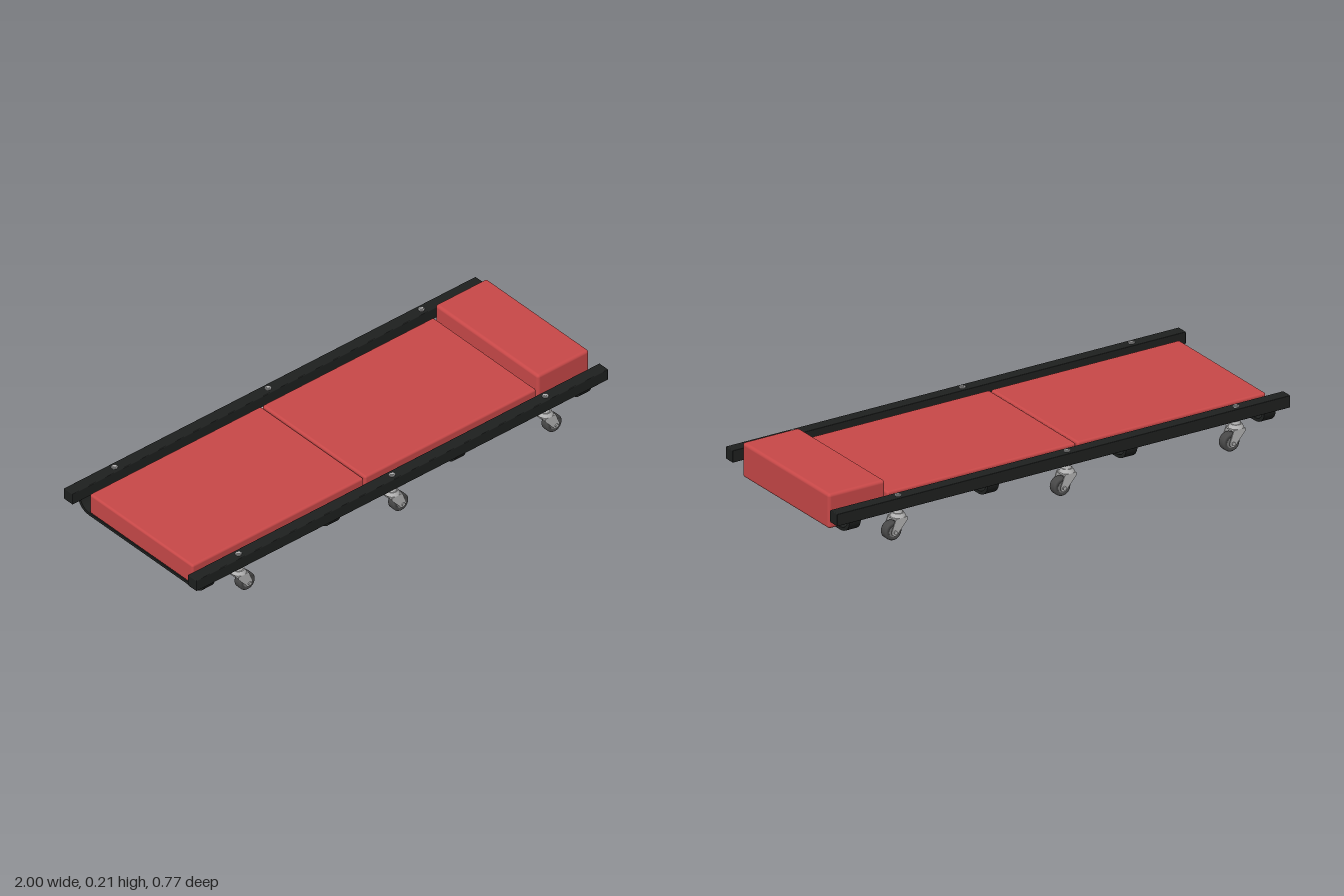
import * as THREE from 'three';
import { RoundedBoxGeometry } from 'three/addons/geometries/RoundedBoxGeometry.js';

const mat = (color) => new THREE.MeshStandardMaterial({ color });
const red = mat(0xc84848), black = mat(0x1e201f), steel = mat(0xb4b4b4), rubber = mat(0x484848);

function add(parent, name, geometry, material, x = 0, y = 0, z = 0) {
  const mesh = new THREE.Mesh(geometry, material);
  mesh.name = name;
  mesh.position.set(x, y, z);
  parent.add(mesh);
  return mesh;
}

// Cylinder lying along z
const axial = (r, length, sides = 24) => new THREE.CylinderGeometry(r, r, length, sides).rotateX(Math.PI / 2);

// Flat strap bent up at both ends to meet the rails, extruded along x
function strapGeometry(width) {
  const s = new THREE.Shape();
  s.moveTo(-0.359, 0.124);
  s.bezierCurveTo(-0.359, 0.085, -0.335, 0.062, -0.29, 0.062);
  s.lineTo(0.29, 0.062);
  s.bezierCurveTo(0.335, 0.062, 0.359, 0.085, 0.359, 0.124);
  s.lineTo(0.346, 0.124);
  s.bezierCurveTo(0.346, 0.095, 0.325, 0.074, 0.29, 0.074);
  s.lineTo(-0.29, 0.074);
  s.bezierCurveTo(-0.325, 0.074, -0.346, 0.095, -0.346, 0.124);
  s.closePath();
  return new THREE.ExtrudeGeometry(s, { depth: width, bevelEnabled: false, curveSegments: 12 })
    .translate(0, 0, -width / 2).rotateY(Math.PI / 2);
}

// Fork side plate: wide under the swivel, rounded around the axle
function forkGeometry() {
  const s = new THREE.Shape();
  s.moveTo(-0.024, 0.088);
  s.lineTo(-0.024, 0.076);
  s.lineTo(0.016, 0.03);
  s.absarc(0.03, 0.036, 0.015, Math.PI * 1.13, Math.PI * 2.1, false);
  s.lineTo(0.026, 0.088);
  s.closePath();
  return new THREE.ExtrudeGeometry(s, { depth: 0.004, bevelEnabled: false }).translate(0, 0, -0.002);
}

// Tyre with softly rounded shoulders
function tyreGeometry() {
  const profile = [[0.02, -0.017], [0.028, -0.0195], [0.033, -0.0185], [0.0355, -0.015], [0.036, -0.009],
    [0.036, 0.009], [0.0355, 0.015], [0.033, 0.0185], [0.028, 0.0195], [0.02, 0.017]];
  return new THREE.LatheGeometry(profile.map(([r, h]) => new THREE.Vector2(r, h)), 32).rotateX(Math.PI / 2);
}

// Swivel caster, stem on the local y axis and wheel trailing toward +x
function createCaster() {
  const g = new THREE.Group();
  g.name = 'caster';
  add(g, 'tyre', tyreGeometry(), rubber, 0.03, 0.036);
  add(g, 'wheelHub', axial(0.021, 0.036), mat(0x777777), 0.03, 0.036);
  add(g, 'axle', axial(0.004, 0.066, 12), steel, 0.03, 0.036);
  for (const side of [-1, 1]) {
    add(g, 'forkArm', forkGeometry(), steel, 0, 0, side * 0.0265);
    add(g, 'axleNut', axial(0.008, 0.005, 6), steel, 0.03, 0.036, side * 0.031);
  }
  add(g, 'forkCrown', new THREE.BoxGeometry(0.05, 0.008, 0.057), steel, 0.001, 0.084);
  add(g, 'swivelRace', new THREE.CylinderGeometry(0.022, 0.03, 0.014, 24), steel, 0, 0.095);
  add(g, 'swivelCap', new THREE.CylinderGeometry(0.013, 0.018, 0.018, 24), steel, 0, 0.111);
  add(g, 'stem', new THREE.CylinderGeometry(0.007, 0.007, 0.07, 16), steel, 0, 0.14);
  add(g, 'stemNut', new THREE.CylinderGeometry(0.013, 0.013, 0.005, 6), steel, 0, 0.17);
  return g;
}

export function createModel() {
  const model = new THREE.Group();
  model.name = 'creeper';

  // Side rails with the casters bolted through them
  for (const side of [-1, 1]) {
    const name = side > 0 ? 'frontRail' : 'backRail';
    add(model, name, new RoundedBoxGeometry(2, 0.049, 0.049, 2, 0.003), black, 0, 0.1435, side * 0.351);
    for (const x of [-0.775, -0.029, 0.716]) {
      const caster = createCaster();
      caster.position.set(x, 0, side * 0.351);
      model.add(caster);
    }
  }

  // Cross straps under the bed
  for (const x of [-0.921, -0.311, 0.3, 0.909]) add(model, 'crossStrap', strapGeometry(0.05), black, x);

  // Padded bed and headrest
  for (const x of [-0.53, 0.309]) {
    add(model, 'bedPad', new RoundedBoxGeometry(0.832, 0.088, 0.584, 4, 0.009), red, x, 0.118, -0.002);
  }
  add(model, 'headrest', new RoundedBoxGeometry(0.25, 0.139, 0.583, 4, 0.012), red, 0.86, 0.1445, -0.0045);

  return model;
}
